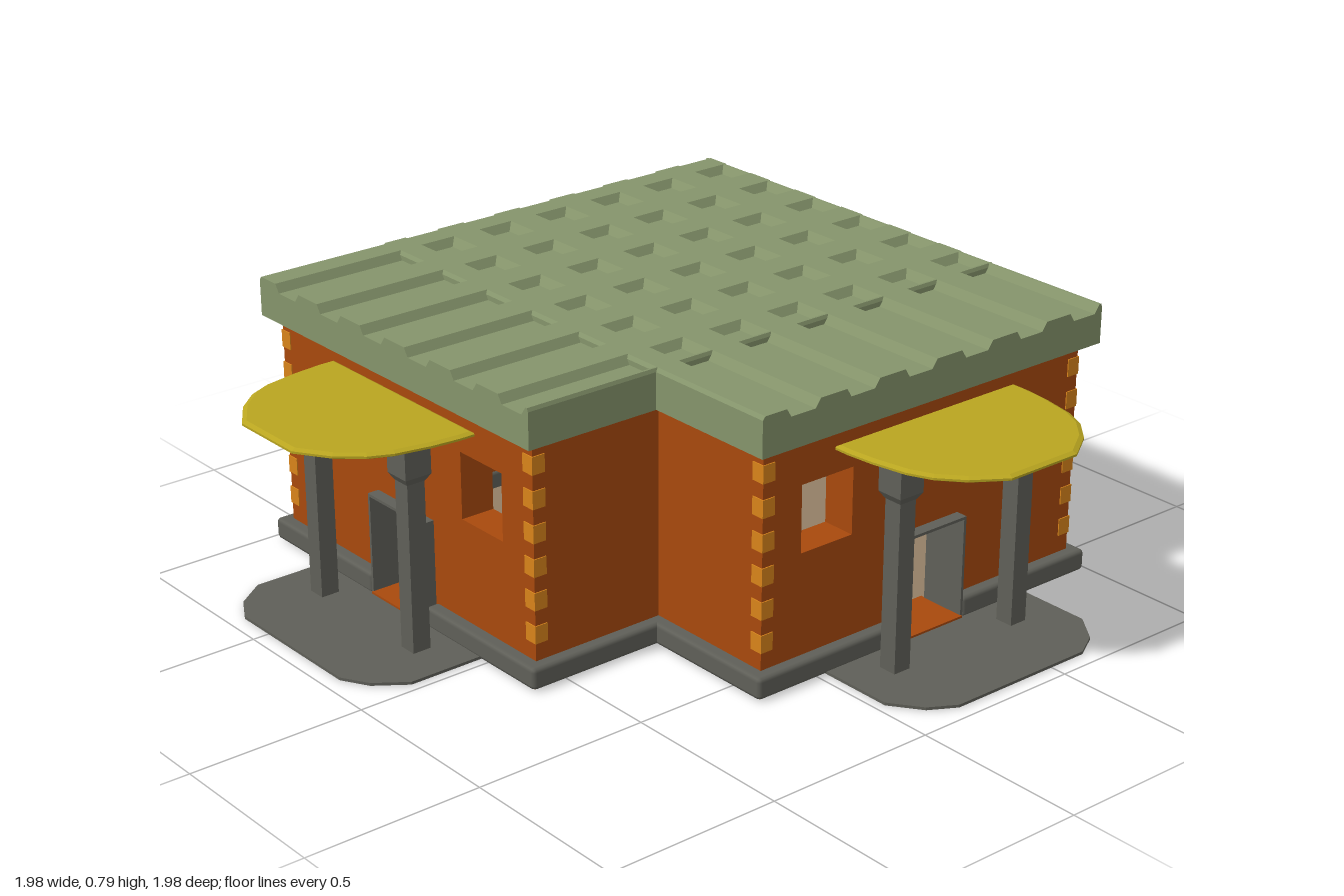
import * as THREE from 'three';
import { RoundedBoxGeometry } from 'three/addons/geometries/RoundedBoxGeometry.js';

const mat = (name, color) => {
  const m = new THREE.MeshStandardMaterial({ color });
  m.name = name;
  return m;
};

export function createModel() {
  const wallMat = mat('burnt orange wall', 0xa8490d);
  const roofMat = mat('sage green roof', 0x85946b);
  const greyMat = mat('grey stone', 0x5f5f58);
  const canopyMat = mat('mustard canopy', 0xb9a520);
  const floorMat = mat('tan floor', 0x937f66);
  const quoinMat = mat('amber quoin', 0xd8841a);
  const markMat = mat('orange marker', 0xdc7410);

  const house = new THREE.Group();
  house.name = 'house';

  const add = (parent, name, geo, material, x = 0, y = 0, z = 0) => {
    const mesh = new THREE.Mesh(geo, material);
    mesh.name = name;
    mesh.position.set(x, y, z);
    parent.add(mesh);
    return mesh;
  };
  // box given by its min and max corners
  const box = (parent, name, material, x0, x1, y0, y1, z0, z1) =>
    add(parent, name, new THREE.BoxGeometry(x1 - x0, y1 - y0, z1 - z0), material,
      (x0 + x1) / 2, (y0 + y1) / 2, (z0 + z1) / 2);
  const plinth = (parent, x0, x1, z0, z1) =>
    add(parent, 'basePlinth', new RoundedBoxGeometry(x1 - x0, 0.062, z1 - z0, 1, 0.012), greyMat,
      (x0 + x1) / 2, 0.034, (z0 + z1) / 2);
  const shapeOf = pts => new THREE.Shape(pts.map(p => new THREE.Vector2(p[0], p[1])));
  // horizontal slab from a half outline in x, z, mirrored across x = 0
  const slab = (half, depth, bevel) => {
    const pts = [...half, ...half.slice().reverse().map(([x, z]) => [-x, z])];
    return new THREE.ExtrudeGeometry(shapeOf(pts), {
      depth: depth - 2 * bevel, bevelEnabled: bevel > 0, bevelSize: bevel * 2,
      bevelThickness: bevel, bevelOffset: -bevel * 2, bevelSegments: 1
    }).rotateX(Math.PI / 2);
  };
  // alternating corner blocks
  const quoins = (parent, x, z) => {
    for (let i = 0; i < 6; i++) {
      const y = 0.14 + i * 0.094;
      box(parent, 'cornerBlock', quoinMat, x - 0.02, x + 0.02, y - 0.025, y + 0.025, z - 0.02, z + 0.02);
    }
  };

  // one wing facing +z; side = +1 or -1 is the side of its long wall
  const makeWing = side => {
    const wing = new THREE.Group();
    const W = 0.56, F = 0.965, T = 0.1, top = 0.69;

    // front wall with doorway and two windows
    const front = shapeOf([[-W, 0.012], [-0.12, 0.012], [-0.12, 0.3], [0.12, 0.3], [0.12, 0.012],
      [W, 0.012], [W, top], [-W, top]]);
    for (const s of [-1, 1]) {
      const hole = new THREE.Path();
      const a = s < 0 ? -0.43 : 0.255;
      hole.moveTo(a, 0.355).lineTo(a, 0.545).lineTo(a + 0.175, 0.545).lineTo(a + 0.175, 0.355).closePath();
      front.holes.push(hole);
    }
    add(wing, 'frontWall', new THREE.ExtrudeGeometry(front, { depth: T, bevelEnabled: false }),
      wallMat, 0, 0, F - T);

    // side walls and plinths
    const sideRun = (s, zStart, zBase) => {
      const a = s * W, b = s * (W - T);
      box(wing, 'sideWall', wallMat, Math.min(a, b), Math.max(a, b), 0.012, top, zStart, F - 0.001);
      const c = s * (W + 0.036), d = s * (W - T - 0.006);
      plinth(wing, Math.min(c, d), Math.max(c, d), zBase, F + 0.036);
    };
    sideRun(side, -W, -W - 0.036);
    sideRun(-side, W - T, W - T);
    plinth(wing, -W - 0.036, -0.125, F - T - 0.006, F + 0.036);
    plinth(wing, 0.125, W + 0.036, F - T - 0.006, F + 0.036);

    // floor, threshold and thin door surround
    box(wing, 'floor', floorMat, -0.585, 0.585, 0.002, 0.012, -0.585, 0.99);
    box(wing, 'threshold', wallMat, -0.12, 0.12, 0, 0.016, 0.85, 1.005);
    for (const s of [-1, 1])
      box(wing, 'doorJamb', greyMat, s * 0.122 - 0.004, s * 0.122 + 0.004, 0.003, 0.304, F - T - 0.002, 1);
    box(wing, 'doorLintel', greyMat, -0.126, 0.126, 0.297, 0.305, F - T - 0.002, 1);

    // ribbed roof, valleys running out to the front
    const R = 0.6, hi = 0.788, lo = 0.764;
    const profile = [[-R, 0.675], [R, 0.675], [R, hi - 0.01], [R - 0.004, hi]];
    for (let i = 5; i >= 0; i--) {
      const v = -0.522 + i * 0.2;
      profile.push([v + 0.112, hi], [v + 0.095, lo], [v + 0.015, lo], [v, hi]);
    }
    profile.push([-R + 0.008, hi], [-R, hi - 0.01]);
    add(wing, 'ribbedRoof', new THREE.ExtrudeGeometry(shapeOf(profile),
      { depth: R + 1.005, bevelEnabled: false }), roofMat, 0, 0, -R);

    // rounded canopy with small cross markers
    const outline = [[0.32, 0.96], [0.32, 1.01], [0.312, 1.09], [0.292, 1.19], [0.262, 1.255],
      [0.205, 1.32], [0.115, 1.38]];
    add(wing, 'canopy', slab(outline, 0.018, 0.006), canopyMat, 0, 0.616, 0);
    for (const [x, z] of [[0.22, 1.187], [-0.22, 1.187], [0.067, 1.312], [-0.067, 1.312]]) {
      box(wing, 'canopyMarker', markMat, x - 0.015, x + 0.015, 0.613, 0.618, z - 0.004, z + 0.004);
      box(wing, 'canopyMarker', markMat, x - 0.004, x + 0.004, 0.613, 0.618, z - 0.015, z + 0.015);
    }

    // porch paving
    add(wing, 'porchPaving', slab([[0.362, 0.98], [0.362, 1.215], [0.3, 1.3], [0.225, 1.343]], 0.008, 0),
      greyMat, 0, 0.01, 0);

    // square columns with flared capitals
    for (const s of [-1, 1]) {
      const x = s * 0.213, z = 1.095;
      box(wing, 'columnShaft', greyMat, x - 0.027, x + 0.027, 0, 0.5, z - 0.027, z + 0.027);
      add(wing, 'capitalFlare', new THREE.CylinderGeometry(0.04 * Math.SQRT2, 0.028 * Math.SQRT2, 0.02, 4)
        .toNonIndexed().rotateY(Math.PI / 4), greyMat, x, 0.5, z).geometry.computeVertexNormals();
      box(wing, 'capital', greyMat, x - 0.04, x + 0.04, 0.51, 0.6, z - 0.04, z + 0.04);
    }

    quoins(wing, W - 0.017, F - 0.017);
    quoins(wing, -W + 0.017, F - 0.017);
    return wing;
  };

  // two equal wings meeting in an L
  const frontWing = makeWing(1);
  frontWing.name = 'frontWing';
  const sideWing = makeWing(-1);
  sideWing.name = 'sideWing';
  sideWing.rotation.y = -Math.PI / 2;
  house.add(frontWing, sideWing);
  quoins(house, 0.543, -0.543);
  house.position.set(0.388, 0, -0.387);

  const model = new THREE.Group();
  model.name = 'building';
  model.add(house);
  return model;
}
